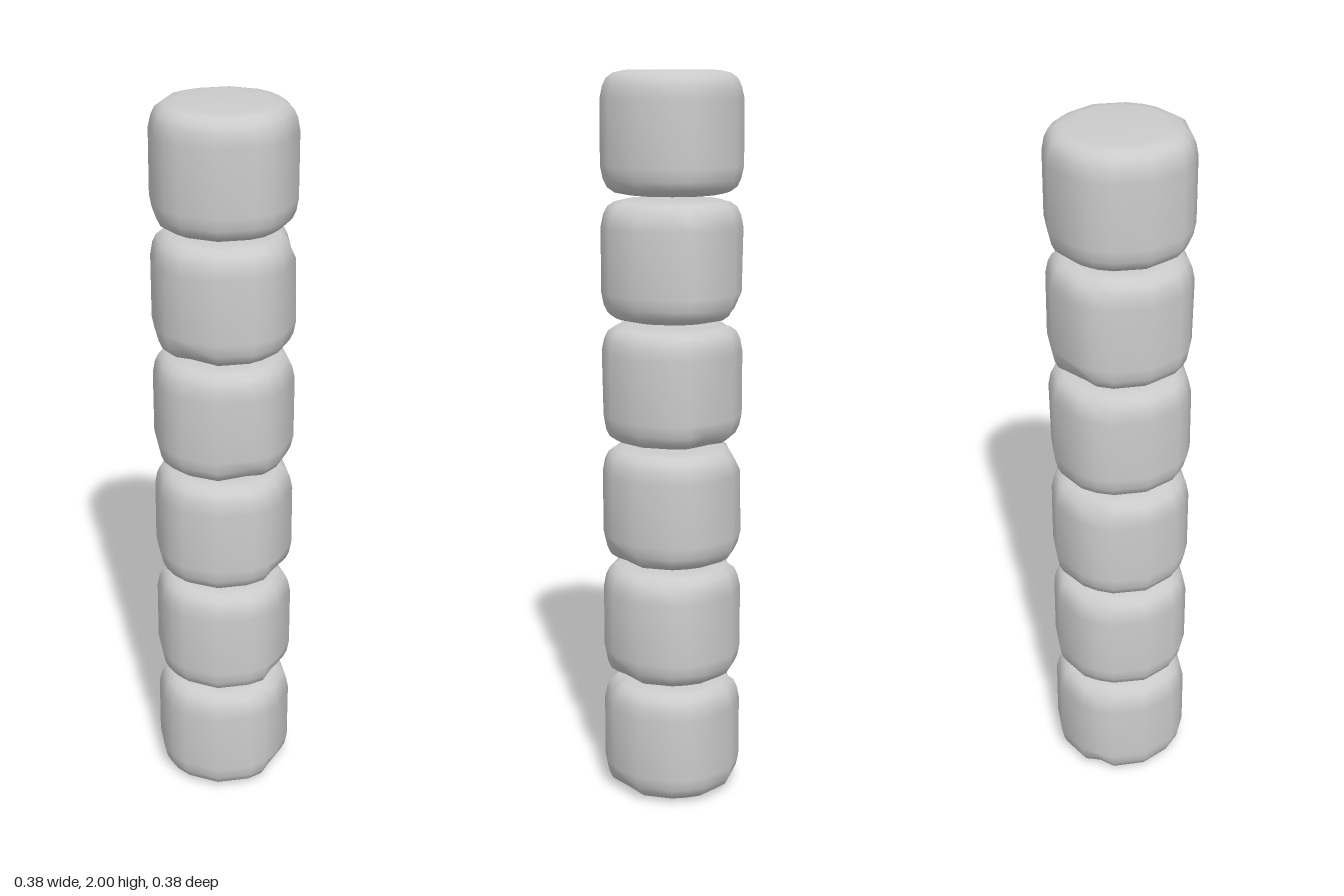
import * as THREE from 'three';
import { mergeVertices } from 'three/addons/utils/BufferGeometryUtils.js';

const COUNT = 6, PITCH = 0.3352, HEIGHT = 0.324;
const RADIUS = 0.192;

// Half profile of a drum: [radius, height above its base]
const lower = [[0, 0], [0.125, 0.001], [0.157, 0.007], [0.176, 0.02], [0.186, 0.041], [RADIUS, 0.075]];
const profile = [...lower, ...lower.map(([r, y]) => [r, HEIGHT - y]).reverse()]
  .map(([r, y]) => new THREE.Vector2(r, y));

// Uneven angular spacing within each quarter turn, in degrees
const STEPS = [0, 30, 45, 60];

function seeded(seed) {
  return () => {
    seed = (seed * 16807) % 2147483647;
    return seed / 2147483647;
  };
}

// One worn stone drum with soft shoulders and slight chips
function drumGeometry(index) {
  const random = seeded(977 * (index + 1));
  const sides = STEPS.length * 4;
  const lathe = new THREE.LatheGeometry(profile, sides);
  const pos = lathe.attributes.position;
  const rings = profile.length;
  const wear = Array.from({ length: sides * 2 }, () => {
    const chip = random();
    return chip > 0.88 ? 0.012 : chip * 0.003;
  });
  for (let i = 0; i < pos.count; i++) {
    const side = Math.floor(i / rings) % sides;
    const ring = i % rings;
    const top = ring >= rings / 2;
    const p = profile[ring];
    const angle = THREE.MathUtils.degToRad(Math.floor(side / 4) * 90 + STEPS[side % 4]);
    const fromEnd = top ? rings - 1 - ring : ring;
    const chip = wear[side * 2 + (top ? 1 : 0)] * [0, 0.2, 0.7, 1, 0.9, 0.3][fromEnd];
    const r = p.x - chip;
    const dy = fromEnd > 1 && fromEnd < 5 ? chip * 0.5 : 0;
    pos.setXYZ(i, r * Math.sin(angle), p.y + (top ? -dy : dy), r * Math.cos(angle));
  }
  lathe.deleteAttribute('uv');
  lathe.deleteAttribute('normal');
  const geometry = mergeVertices(lathe, 1e-5);
  geometry.computeVertexNormals();
  return geometry;
}

export function createModel() {
  const group = new THREE.Group();
  group.name = 'stoneColumn';
  const material = new THREE.MeshStandardMaterial({ color: 0xcccccc });

  // Stack of separate drums with narrow gaps
  for (let i = 0; i < COUNT; i++) {
    const drum = new THREE.Mesh(drumGeometry(i), material);
    drum.name = `drum${i + 1}`;
    drum.position.y = i * PITCH;
    group.add(drum);
  }
  return group;
}
